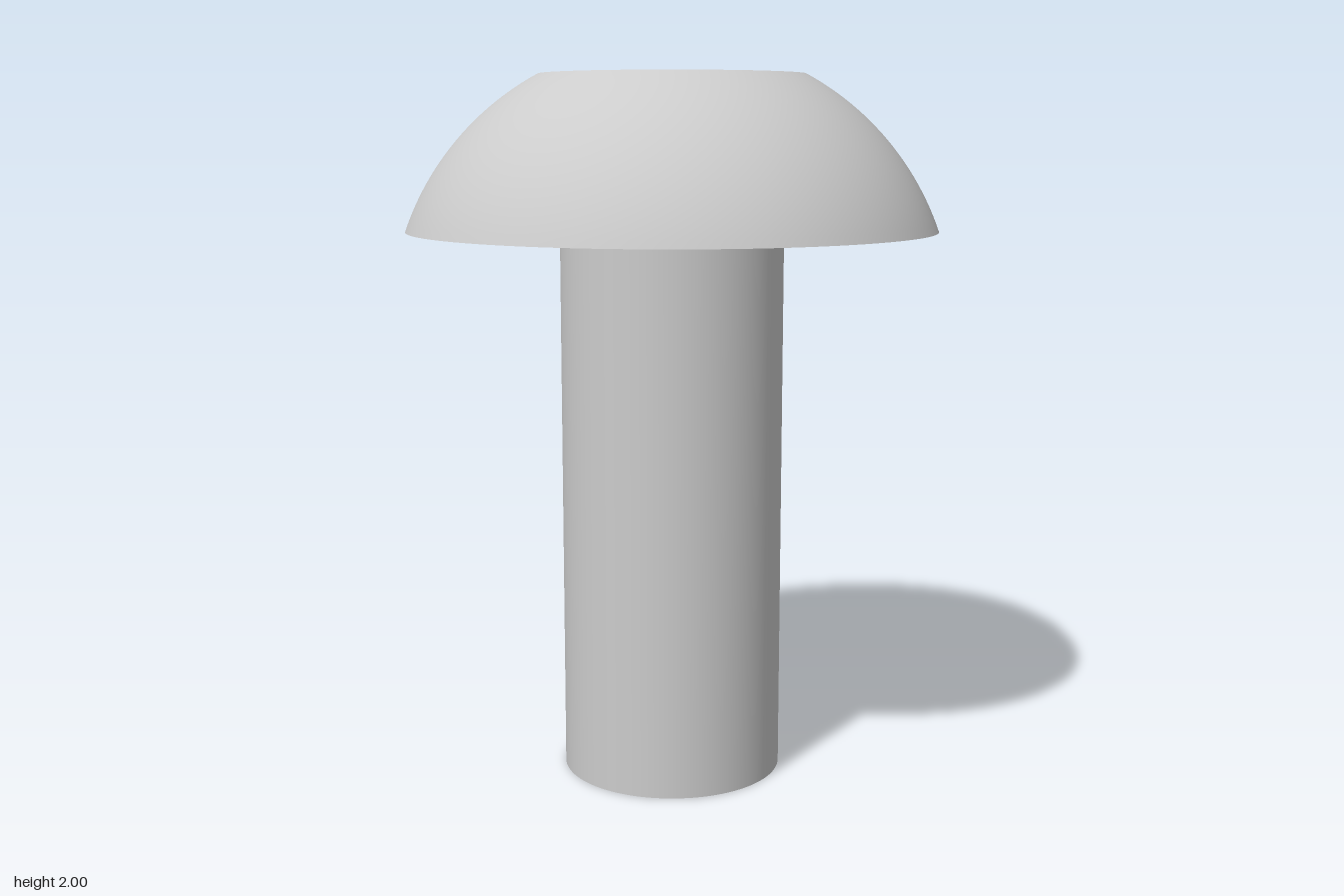
import * as THREE from 'three';

const HEAD_Y = 1.569, TOP_Y = 2;
const HEAD_R = 0.745, TOP_R = 0.372, SHAFT_R = 0.316;
const HEX_R = 0.293, HEX_DEPTH = 0.272;
const SEGMENTS = 96;

export function createModel() {
  const group = new THREE.Group();
  const solid = new THREE.MeshStandardMaterial({ color: 0xcccccc });
  const open = new THREE.MeshStandardMaterial({ color: 0xcccccc, side: THREE.DoubleSide });
  const facets = new THREE.MeshStandardMaterial({ color: 0xcccccc, side: THREE.DoubleSide, flatShading: true });

  const add = (name, geometry, material, y = 0) => {
    const mesh = new THREE.Mesh(geometry, material);
    mesh.name = name;
    mesh.position.y = y;
    group.add(mesh);
  };

  // Plain round shaft, closed at the foot
  add('shaft', new THREE.CylinderGeometry(SHAFT_R, SHAFT_R, HEAD_Y, SEGMENTS), solid, HEAD_Y / 2);

  // Domed head: a spherical zone whose centre lies on the axis
  const centreY = (TOP_R ** 2 + TOP_Y ** 2 - HEAD_R ** 2 - HEAD_Y ** 2) / (2 * (TOP_Y - HEAD_Y));
  const radius = Math.hypot(HEAD_R, HEAD_Y - centreY);
  const a0 = Math.atan2(HEAD_Y - centreY, HEAD_R);
  const a1 = Math.atan2(TOP_Y - centreY, TOP_R);
  const profile = [];
  for (let i = 0; i <= 24; i++) {
    const a = a0 + (a1 - a0) * i / 24;
    profile.push(new THREE.Vector2(radius * Math.cos(a), centreY + radius * Math.sin(a)));
  }
  add('headDome', new THREE.LatheGeometry(profile, SEGMENTS), open);

  // Flat underside of the head around the shaft
  const underside = new THREE.RingGeometry(SHAFT_R, HEAD_R, SEGMENTS).rotateX(Math.PI / 2);
  add('headUnderside', underside, open, HEAD_Y);

  // Flat top with a hexagonal opening, corners on the x axis
  const hexPoints = Array.from({ length: 6 }, (_, i) =>
    new THREE.Vector2(HEX_R * Math.cos(i * Math.PI / 3), HEX_R * Math.sin(i * Math.PI / 3)));
  const top = new THREE.Shape().absarc(0, 0, TOP_R, 0, Math.PI * 2);
  top.holes.push(new THREE.Path(hexPoints).closePath());
  add('headTop', new THREE.ShapeGeometry(top, SEGMENTS / 2).rotateX(-Math.PI / 2), open, TOP_Y);

  // Hexagonal socket: walls and floor
  const walls = new THREE.CylinderGeometry(HEX_R, HEX_R, HEX_DEPTH, 6, 1, true, Math.PI / 6);
  add('socketWalls', walls, facets, TOP_Y - HEX_DEPTH / 2);
  const floor = new THREE.CircleGeometry(HEX_R, 6).rotateX(-Math.PI / 2);
  add('socketFloor', floor, open, TOP_Y - HEX_DEPTH);

  return group;
}
